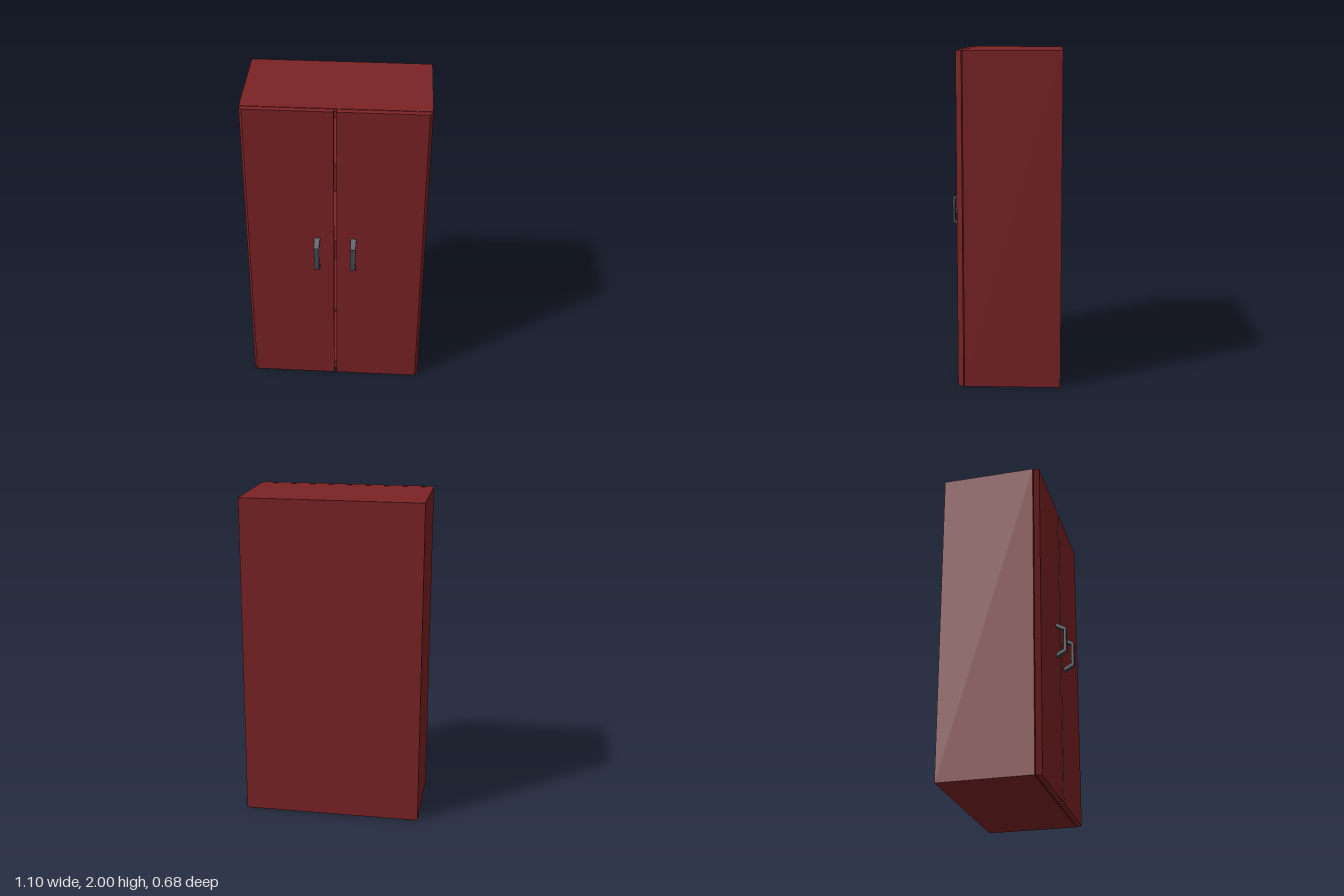
import * as THREE from 'three';

const red = new THREE.MeshStandardMaterial({ color: 0x7a2224 });
red.name = 'dark red';
const slate = new THREE.MeshStandardMaterial({ color: 0x454955 });
slate.name = 'slate grey';

const HEIGHT = 2, HALF = 0.548, BACK = -0.34, FRONT = 0.235;
const DOOR_BACK = 0.24, DOOR_FRONT = 0.274, WALL = 0.02;

// box given by its lower and upper limits
function panel(name, [x0, x1], [y0, y1], [z0, z1]) {
  const mesh = new THREE.Mesh(new THREE.BoxGeometry(x1 - x0, y1 - y0, z1 - z0), red);
  mesh.position.set((x0 + x1) / 2, (y0 + y1) / 2, (z0 + z1) / 2);
  mesh.name = name;
  return mesh;
}

function polygon(points) {
  return new THREE.Shape(points.map(([x, y]) => new THREE.Vector2(x, y)));
}

// door plan, with its outer edge bevelled, extruded upwards
function door(name, side, inner) {
  const plan = polygon([
    [side * inner, -DOOR_BACK], [side * HALF, -DOOR_BACK],
    [side * (HALF - 0.019), -DOOR_FRONT], [side * inner, -DOOR_FRONT],
  ]);
  const geometry = new THREE.ExtrudeGeometry(plan, { depth: HEIGHT, bevelEnabled: false });
  geometry.rotateX(-Math.PI / 2);
  const mesh = new THREE.Mesh(geometry, red);
  mesh.name = name;
  return mesh;
}

// angular bow handle: side profile extruded across, slightly wider at the door
function handle(name, x) {
  const width = 0.036, reach = 0.338 - DOOR_FRONT;
  const profile = polygon([
    [0, 0.115], [reach, 0.08], [reach, -0.08], [0, -0.115],
    [0, -0.092], [reach - 0.017, -0.066], [reach - 0.017, 0.066], [0, 0.092],
  ]);
  const geometry = new THREE.ExtrudeGeometry(profile, { depth: width, bevelEnabled: false });
  geometry.translate(0, 0, -width / 2);
  geometry.rotateY(-Math.PI / 2);
  const p = geometry.attributes.position;
  for (let i = 0; i < p.count; i++) p.setX(i, p.getX(i) * (1 - 0.14 * p.getZ(i) / reach));
  geometry.computeVertexNormals();
  const mesh = new THREE.Mesh(geometry, slate);
  mesh.position.set(x, 1.005, DOOR_FRONT);
  mesh.name = name;
  return mesh;
}

export function createModel() {
  const model = new THREE.Group();
  model.name = 'wardrobe';

  // open-fronted carcass
  const carcass = new THREE.Group();
  carcass.name = 'carcass';
  const inside = [-HALF + WALL, HALF - WALL];
  carcass.add(
    panel('rightSide', [-HALF, -HALF + WALL], [0, HEIGHT], [BACK, FRONT]),
    panel('leftSide', [HALF - WALL, HALF], [0, HEIGHT], [BACK, FRONT]),
    panel('backPanel', inside, [0, HEIGHT], [BACK, BACK + WALL]),
    panel('topPanel', inside, [HEIGHT - WALL, HEIGHT], [BACK + WALL, FRONT]),
    panel('base', inside, [0, 0.06], [BACK + WALL, FRONT]),
  );
  for (const y of [0.49, 1.05, 1.61]) {
    carcass.add(panel('shelf', inside, [y - 0.01, y + 0.01], [BACK + WALL, FRONT - 0.02]));
  }
  model.add(carcass);

  // doors and their handles
  model.add(
    door('leftDoor', 1, 0.006), door('rightDoor', -1, 0.009),
    handle('leftHandle', 0.11), handle('rightHandle', -0.112),
  );
  return model;
}
